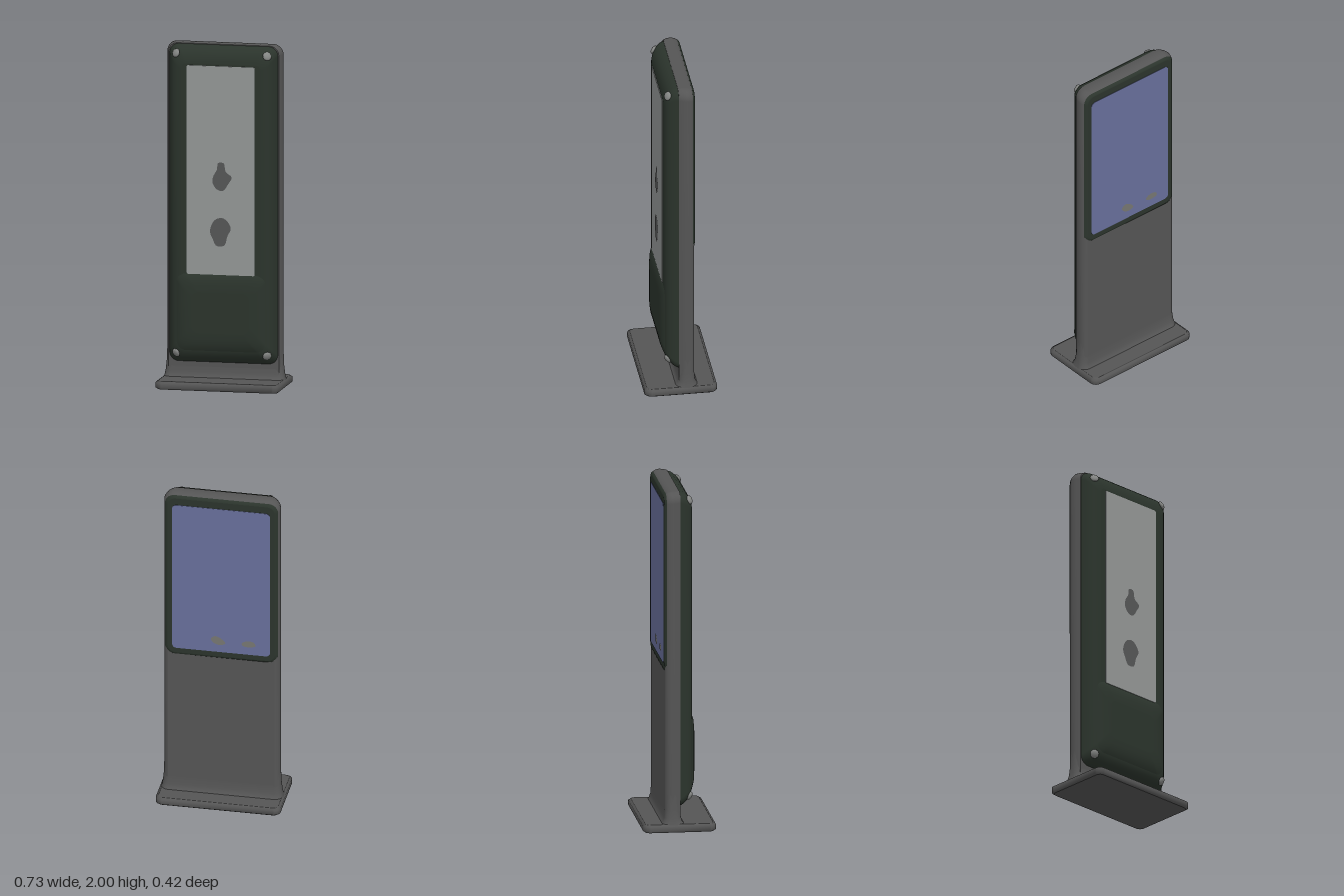
import * as THREE from 'three';

const material = (name, color, side = THREE.FrontSide) => {
  const m = new THREE.MeshStandardMaterial({ color, side });
  m.name = name;
  return m;
};

// Counter-clockwise rounded rectangle
function roundedLoop(hx, y0, y1, r, steps = 7) {
  const pts = [];
  const corners = [[hx - r, y0 + r], [hx - r, y1 - r], [r - hx, y1 - r], [r - hx, y0 + r]];
  corners.forEach(([cx, cy], k) => {
    for (let i = 0; i <= steps; i++) {
      const a = (k - 1 + i / steps) * Math.PI / 2;
      pts.push([cx + r * Math.cos(a), cy + r * Math.sin(a)]);
    }
  });
  return pts;
}

// Skin rounded rectangles stacked along z; ring = [z, halfWidth, y0, y1, radius]
function loft(rings) {
  const pos = [], index = [];
  const loops = rings.map(([z, ...rect]) => roundedLoop(...rect).map(([x, y]) => [x, y, z]));
  const n = loops[0].length;
  loops.forEach(loop => loop.forEach(p => pos.push(...p)));
  for (let i = 0; i < loops.length - 1; i++) {
    for (let j = 0; j < n; j++) {
      const a = i * n + j, b = i * n + (j + 1) % n;
      index.push(a, b, b + n, a, b + n, a + n);
    }
  }
  // Flat end caps with their own vertices
  [[0, true], [loops.length - 1, false]].forEach(([k, flip]) => {
    const start = pos.length / 3;
    loops[k].forEach(p => pos.push(...p));
    const [z, , y0, y1] = rings[k];
    pos.push(0, (y0 + y1) / 2, z);
    for (let j = 0; j < n; j++) {
      const a = start + j, b = start + (j + 1) % n;
      index.push(start + n, flip ? b : a, flip ? a : b);
    }
  });
  const g = new THREE.BufferGeometry();
  g.setAttribute('position', new THREE.Float32BufferAttribute(pos, 3));
  g.setIndex(index);
  g.computeVertexNormals();
  return g;
}

// Smooth closed patch through a few outline points
function patch(points) {
  const curve = new THREE.CatmullRomCurve3(points.map(([x, y]) => new THREE.Vector3(x, y, 0)), true);
  return new THREE.ShapeGeometry(new THREE.Shape(curve.getPoints(36).map(p => new THREE.Vector2(p.x, p.y))));
}

export function createModel() {
  const group = new THREE.Group();
  const grey = material('casing grey', 0x555555);
  const dark = material('dark green black', 0x2b342c);
  const panelGrey = material('panel grey', 0x949796);
  const markGrey = material('mark grey', 0x565757, THREE.DoubleSide);
  const blue = material('screen blue', 0x686f9c);
  const smudge = material('smudge grey', 0x777772, THREE.DoubleSide);
  const boltGrey = material('bolt grey', 0x858785);

  const add = (name, geometry, mat, x = 0, y = 0, z = 0) => {
    const mesh = new THREE.Mesh(geometry, mat);
    mesh.name = name;
    mesh.position.set(x, y, z);
    group.add(mesh);
    return mesh;
  };

  // Base plate and the flared foot, lofted upward
  add('basePlate', loft([
    [0, 0.352, -0.198, 0.198, 0.03],
    [0.01, 0.365, -0.211, 0.211, 0.04],
    [0.038, 0.365, -0.211, 0.211, 0.04],
    [0.048, 0.35, -0.196, 0.196, 0.03],
  ]).rotateX(-Math.PI / 2), grey);
  add('flaredFoot', loft([
    [0.04, 0.358, -0.035, 0.105, 0.05],
    [0.055, 0.354, -0.02, 0.094, 0.045],
    [0.08, 0.349, -0.011, 0.085, 0.04],
    [0.13, 0.344, -0.006, 0.082, 0.04],
    [0.22, 0.34, -0.002, 0.08, 0.035],
  ]).rotateX(-Math.PI / 2), grey);

  // Upright casing with rounded edges
  add('casing', loft([
    [-0.082, 0.312, 0.03, 1.972, 0.04],
    [-0.077, 0.325, 0.03, 1.984, 0.05],
    [-0.062, 0.337, 0.03, 1.995, 0.06],
    [-0.04, 0.342, 0.03, 2.0, 0.06],
    [-0.015, 0.337, 0.03, 2.0, 0.06],
    [0.008, 0.325, 0.03, 1.995, 0.055],
  ]), grey);

  // Front shell and its swollen lower part
  add('frontShell', loft([
    [0, 0.322, 0.135, 1.994, 0.055],
    [0.03, 0.311, 0.148, 1.986, 0.055],
    [0.055, 0.297, 0.168, 1.968, 0.055],
    [0.072, 0.28, 0.19, 1.945, 0.055],
    [0.082, 0.258, 0.215, 1.915, 0.045],
    [0.085, 0.235, 0.24, 1.89, 0.03],
  ]), dark);
  add('lowerBulge', loft([
    [0.07, 0.275, 0.195, 0.685, 0.05],
    [0.085, 0.255, 0.22, 0.664, 0.05],
    [0.097, 0.23, 0.25, 0.635, 0.05],
    [0.103, 0.2, 0.285, 0.6, 0.05],
    [0.105, 0.17, 0.32, 0.56, 0.04],
  ]), dark);

  // Front panel with two dark marks
  add('frontPanel', loft([[0.082, 0.2, 0.662, 1.88, 0.008], [0.089, 0.2, 0.662, 1.88, 0.008]]), panelGrey);
  add('upperMark', patch([
    [-0.015, 1.315], [0.018, 1.315], [0.03, 1.265], [0.065, 1.235], [0.045, 1.195],
    [0.015, 1.155], [-0.02, 1.16], [-0.048, 1.2], [-0.042, 1.24], [-0.022, 1.275],
  ]), markGrey, 0, 0, 0.0905);
  add('lowerMark', patch([
    [-0.03, 0.985], [0.01, 0.995], [0.04, 0.975], [0.06, 0.935], [0.04, 0.89],
    [0.022, 0.835], [-0.025, 0.832], [-0.046, 0.87], [-0.062, 0.91], [-0.055, 0.95],
  ]), markGrey, 0, 0, 0.0905);

  // Corner bolts
  for (const x of [-0.268, 0.268]) {
    for (const [y, tilt] of [[1.945, -1], [0.195, 1]]) {
      const bolt = add('cornerBolt', new THREE.SphereGeometry(0.026, 12, 8), boltGrey, x, y, 0.066);
      bolt.scale.z = 0.5;
      bolt.rotation.set(tilt * 0.5, Math.sign(x) * 0.5, 0);
    }
  }

  // Rear bezel and screen
  add('screenBezel', loft([
    [-0.086, 0.313, 0.955, 1.972, 0.045],
    [-0.083, 0.322, 0.945, 1.981, 0.05],
    [-0.073, 0.331, 0.94, 1.988, 0.055],
  ]), dark);
  add('screen', loft([[-0.088, 0.287, 0.985, 1.93, 0.025], [-0.084, 0.287, 0.985, 1.93, 0.025]]), blue);
  add('wideSmudge', patch([
    [0.06, 1.07], [0.035, 1.088], [0, 1.075], [-0.025, 1.045], [0.01, 1.032], [0.045, 1.045],
  ]), smudge, 0, 0, -0.0895);
  add('smallSmudge', patch([
    [-0.12, 1.055], [-0.155, 1.075], [-0.195, 1.065], [-0.2, 1.045], [-0.16, 1.035], [-0.13, 1.04],
  ]), smudge, 0, 0, -0.0895);

  return group;
}
